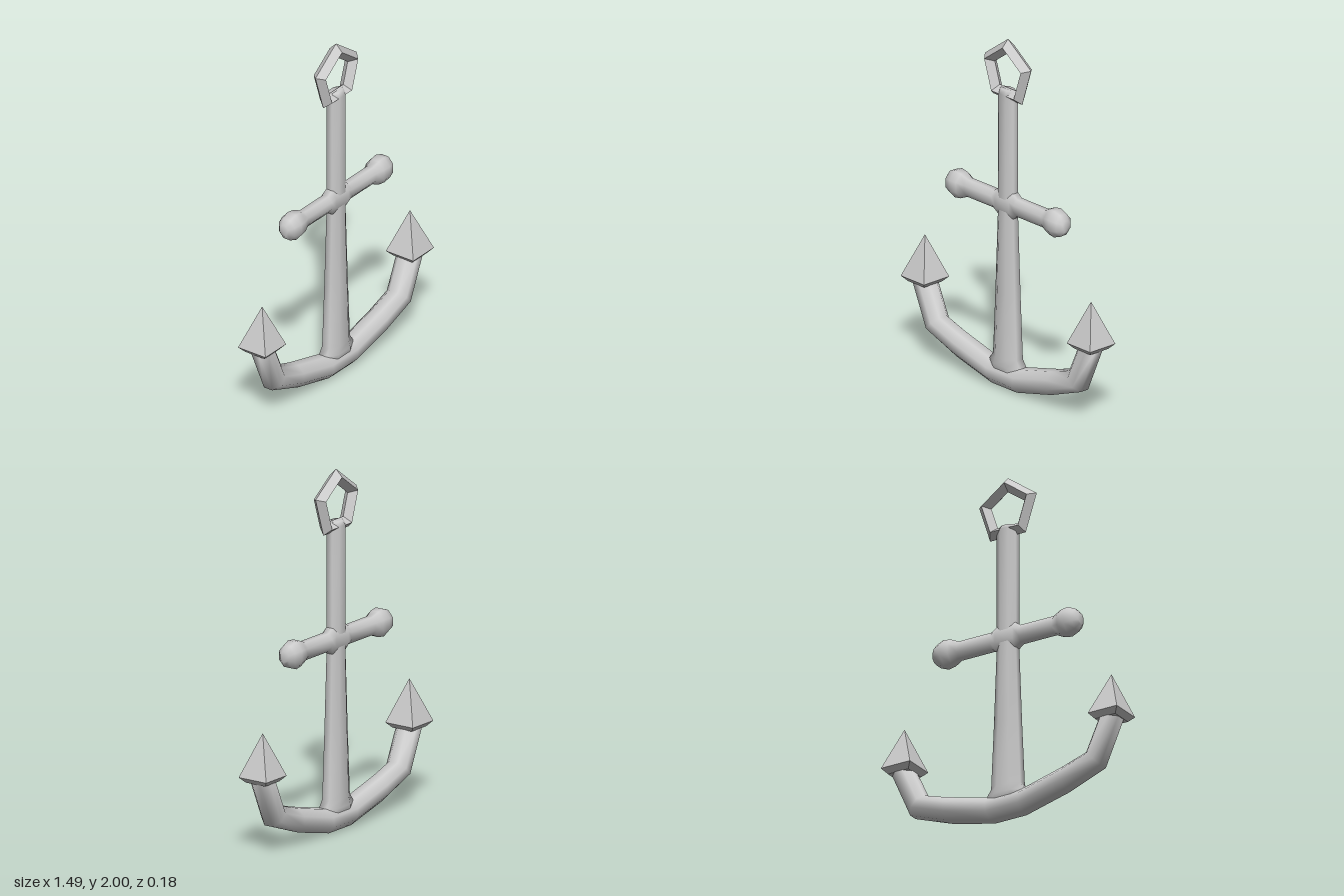
import * as THREE from 'three';

const SIDES = 8;
const smooth = new THREE.MeshStandardMaterial({ color: 0xcccccc });
const faceted = new THREE.MeshStandardMaterial({ color: 0xcccccc, flatShading: true });

// Octagonal bar through cross-sections [x0, y0, x1, y1, halfDepth]:
// two opposite edge points in the xy plane plus the half depth along z.
function loft(sections) {
  const pos = [], idx = [];
  const k = 1 / Math.cos(Math.PI / SIDES);
  for (const [x0, y0, x1, y1, d] of sections) {
    for (let j = 0; j < SIDES; j++) {
      const a = ((j + 0.5) / SIDES) * Math.PI * 2;
      const c = Math.cos(a) * k / 2;
      pos.push((x0 + x1) / 2 + (x1 - x0) * c, (y0 + y1) / 2 + (y1 - y0) * c, Math.sin(a) * k * d);
    }
  }
  const last = (sections.length - 1) * SIDES;
  for (let i = 0; i < last; i += SIDES) {
    for (let j = 0; j < SIDES; j++) {
      const a = i + j, b = i + (j + 1) % SIDES;
      idx.push(a, a + SIDES, b, b, a + SIDES, b + SIDES);
    }
  }
  // end caps
  for (let j = 1; j < SIDES - 1; j++) {
    idx.push(0, j, j + 1, last, last + j + 1, last + j);
  }
  const geo = new THREE.BufferGeometry();
  geo.setAttribute('position', new THREE.Float32BufferAttribute(pos, 3));
  geo.setIndex(idx);
  geo.computeVertexNormals();
  return geo;
}

// Completes a right half of sections with its mirror image, running from -x to +x.
function mirrored(half) {
  const left = half.map(([x0, y0, x1, y1, d]) => [-x0, y0, -x1, y1, d]).reverse();
  return [...left, ...half];
}

export function createModel() {
  const group = new THREE.Group();
  const add = (name, geo, mat = smooth) => {
    const mesh = new THREE.Mesh(geo, mat);
    mesh.name = name;
    group.add(mesh);
    return mesh;
  };

  // Shank: y, half width, half depth
  add('shank', loft([
    [0.06, 0.13, 0.05], [0.135, 0.122, 0.058], [0.18, 0.092, 0.056], [0.55, 0.076, 0.05],
    [1.0, 0.06, 0.043], [1.69, 0.06, 0.043], [1.715, 0.045, 0.03],
  ].map(([y, w, d]) => [-w, y, w, y, d])));

  // Stock with knobbed ends: x, half height, half depth
  add('stock', loft(mirrored([
    [0.055, 0.076, 0.045], [0.09, 0.05, 0.041], [0.3, 0.05, 0.041], [0.345, 0.07, 0.06],
    [0.39, 0.076, 0.066], [0.435, 0.06, 0.053], [0.46, 0.032, 0.028],
  ].map(([x, h, d]) => [x, 1.058 + h, x, 1.058 - h, d]))));

  // Curved arms: upper edge point, lower edge point, half depth
  add('arms', loft(mirrored([
    [0.11, 0.138, 0.1, 0.003, 0.066],
    [0.37, 0.205, 0.37, 0.07, 0.066],
    [0.51, 0.25, 0.6, 0.155, 0.066],
    [0.59, 0.425, 0.718, 0.425, 0.066],
  ])));

  // Pyramid tips with a bevelled underside
  const r = 0.0915 * Math.SQRT2;
  for (const [side, s] of [['left', 1], ['right', -1]]) {
    const tip = add(side + 'Tip', new THREE.ConeGeometry(r, 0.24, 4, 1, true, Math.PI / 4), faceted);
    tip.position.set(s * 0.653, 0.563, 0);
    const under = add(side + 'TipUnderside',
      new THREE.CylinderGeometry(r, 0.064 * Math.SQRT2, 0.03, 4, 1, false, Math.PI / 4), faceted);
    under.position.set(s * 0.653, 0.428, 0);
  }

  // Five-sided ring with a diamond section
  const ring = add('ring', new THREE.TorusGeometry(0.15, 0.041, 4, 5), faceted);
  ring.rotation.z = Math.PI / 2;
  ring.position.y = 1.809;

  return group;
}
